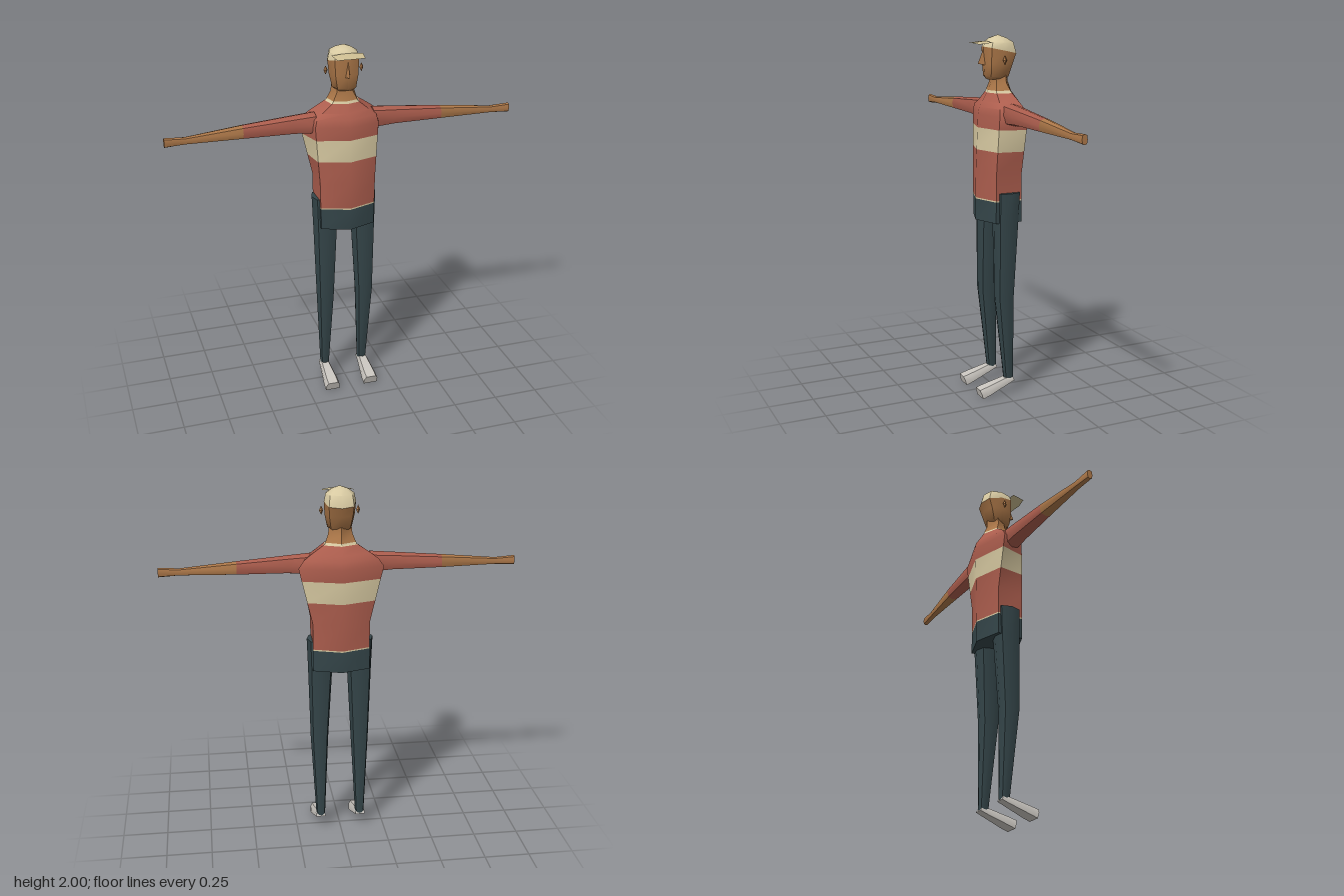
import * as THREE from 'three';
import { toCreasedNormals } from 'three/addons/utils/BufferGeometryUtils.js';

const mat = (name, color, side = THREE.FrontSide) => {
  const m = new THREE.MeshStandardMaterial({ color, side });
  m.name = name;
  return m;
};

// Skin a list of rings (counter-clockwise about the travel direction) and cap the ends
function loft(rings, { mirror = false, start = true, end = true, crease = 0.8 } = {}) {
  if (mirror) rings = rings.map(r => r.map(([x, y, z]) => [-x, y, z]).reverse());
  const n = rings[0].length, index = [];
  const pos = rings.flat(2);
  for (let j = 0; j < rings.length - 1; j++) {
    for (let i = 0; i < n; i++) {
      const a = j * n + i, b = j * n + (i + 1) % n;
      index.push(a, b, b + n, a, b + n, a + n);
    }
  }
  const last = (rings.length - 1) * n;
  for (let i = 1; i < n - 1; i++) {
    if (start) index.push(0, i + 1, i);
    if (end) index.push(last, last + i, last + i + 1);
  }
  const g = new THREE.BufferGeometry();
  g.setAttribute('position', new THREE.Float32BufferAttribute(pos, 3));
  g.setIndex(index);
  return toCreasedNormals(g, crease);
}

// Unit rounded-square section with eight points
const round = Array.from({ length: 8 }, (_, i) => {
  const a = i * Math.PI / 4;
  const f = v => Math.sign(v) * Math.pow(Math.abs(v), 0.75);
  return [f(Math.cos(a)), f(Math.sin(a))];
});

// Horizontal ring between x0..x1 and z0..z1, optionally tilted towards the back
const flatRing = ([y, x0, x1, z0, z1, tilt = 0]) => round.map(([c, s]) =>
  [(x0 + x1) / 2 + s * (x1 - x0) / 2, y + c * tilt, (z0 + z1) / 2 + c * (z1 - z0) / 2]);

// Upright ring at x between y0..y1 and z0..z1
const armRing = ([x, y0, y1, z0, z1]) => round.map(([c, s]) =>
  [x, (y0 + y1) / 2 + c * (y1 - y0) / 2, (z0 + z1) / 2 + s * (z1 - z0) / 2]);

// Torso profile: y, front z, front corner x/z, back corner x/z, back z
const torso = [
  [1.00, 0.115, 0.150, 0.06, 0.155, -0.09, -0.14],
  [1.27, 0.112, 0.155, 0.06, 0.155, -0.09, -0.145],
  [1.58, 0.098, 0.175, 0.05, 0.228, -0.09, -0.155],
  [1.62, 0.090, 0.165, 0.045, 0.20, -0.085, -0.15],
  [1.65, 0.070, 0.130, 0.03, 0.16, -0.075, -0.13],
  [1.70, 0.042, 0.070, 0.02, 0.085, -0.06, -0.10],
  [1.75, 0.020, 0.045, 0.01, 0.065, -0.04, -0.08],
  [1.79, 0.020, 0.045, 0.01, 0.060, -0.04, -0.08],
];
function torsoRing(y) {
  const k = Math.max(1, torso.findIndex(r => r[0] >= y));
  const a = torso[k - 1], b = torso[k], t = (y - a[0]) / (b[0] - a[0]);
  const [, zf, xf, zfc, xb, zbc, zb] = a.map((v, i) => v + (b[i] - v) * t);
  return [[0, y, zf], [xf, y, zfc], [xb, y, zbc], [0, y, zb], [-xb, y, zbc], [-xf, y, zfc]];
}

export function createModel() {
  const group = new THREE.Group();
  group.name = 'figure';
  const shirt = mat('shirt red', 0xad5e4e);
  const cream = mat('cream', 0xd8caa2);
  const skin = mat('skin', 0xad7849);
  const pants = mat('dark trousers', 0x35464a);
  const shoe = mat('shoe grey', 0xc8c4be);
  const brimMat = mat('cap brim', 0xd0c094, THREE.DoubleSide);
  const add = (name, geometry, material) => {
    const mesh = new THREE.Mesh(geometry, material);
    mesh.name = name;
    group.add(mesh);
    return mesh;
  };

  // Torso, cut into horizontal colour bands
  const bands = [
    ['pelvis', 1.0, 1.118, pants], ['shirtHem', 1.118, 1.125, cream],
    ['shirtLower', 1.125, 1.39, shirt], ['chestStripe', 1.39, 1.51, cream],
    ['shirtUpper', 1.51, 1.695, shirt], ['collar', 1.695, 1.708, cream],
    ['neck', 1.708, 1.79, skin],
  ];
  for (const [name, lo, hi, m] of bands) {
    const ys = [lo, ...torso.map(r => r[0]).filter(y => y > lo && y < hi), hi];
    add(name, loft(ys.map(torsoRing), { start: lo === 1.0, end: hi === 1.79 }), m);
  }

  // Head and cap share a tilted seam
  const seam = [1.92, -0.085, 0.085, -0.12, 0.066, 0.02];
  add('head', loft([
    [1.766, -0.045, 0.045, -0.055, 0.045],
    [1.782, -0.066, 0.066, -0.075, 0.058],
    [1.85, -0.08, 0.08, -0.098, 0.064],
    seam,
  ].map(flatRing), { end: false }), skin);
  add('cap', loft([
    seam,
    [1.963, -0.076, 0.076, -0.102, 0.054],
    [1.985, -0.044, 0.044, -0.066, 0.026],
    [2.0, -0.004, 0.004, -0.024, -0.016],
  ].map(flatRing), { start: false }), cream);

  // Cap brim: thin arched sheet with a slightly pointed front
  const brim = new THREE.PlaneGeometry(0.17, 0.085, 4, 2).rotateX(-Math.PI / 2);
  const p = brim.attributes.position;
  for (let i = 0; i < p.count; i++) {
    const x = p.getX(i), t = (p.getZ(i) + 0.0425) / 0.085;
    const s = Math.abs(x) / 0.085;
    p.setXYZ(i, x * (1 - 0.12 * t), 1.969 - 0.008 * t - 0.005 * s * s, 0.05 + t * (0.09 - 0.016 * s));
  }
  brim.computeVertexNormals();
  add('capBrim', brim, brimMat);

  // Nose
  add('nose', loft([
    [[0, 1.85, 0.098], [0.014, 1.842, 0.055], [-0.014, 1.842, 0.055]],
    [[0, 1.925, 0.067], [0.003, 1.925, 0.055], [-0.003, 1.925, 0.055]],
  ], { crease: 0.3 }), skin);

  // Paired parts
  for (const mirror of [false, true]) {
    const side = mirror ? 'right' : 'left';

    add(side + 'Ear', new THREE.OctahedronGeometry(1).scale(0.011, 0.025, 0.012)
      .translate(mirror ? -0.098 : 0.098, 1.872, -0.016), skin);

    const elbow = [0.55, 1.542, 1.615, -0.058, 0.016];
    add(side + 'Sleeve', loft([
      [0.16, 1.53, 1.648, -0.078, 0.032],
      [0.28, 1.54, 1.638, -0.072, 0.028],
      elbow,
    ].map(armRing), { mirror, end: false }), shirt);
    add(side + 'Forearm', loft([
      elbow,
      [0.85, 1.547, 1.585, -0.032, 0.006],
      [0.96, 1.54, 1.592, -0.026, 0.005],
    ].map(armRing), { mirror, start: false }), skin);

    add(side + 'Leg', loft([
      [0.085, 0.088, 0.138, -0.06, -0.006],
      [0.57, 0.064, 0.164, -0.058, 0.05],
      [1.0, 0.04, 0.176, -0.084, 0.054],
      [1.165, 0.032, 0.182, -0.092, 0.055],
    ].map(flatRing), { mirror }), pants);

    // Shoe: [half width, top y, top z, bottom y, bottom z] from heel to toe
    const shoeRings = [
      [0.026, 0.1, -0.05, 0.079, -0.06],
      [0.028, 0.098, -0.01, 0.063, -0.02],
      [0.04, 0.066, 0.11, 0.018, 0.1],
      [0.04, 0.054, 0.155, 0.004, 0.14],
    ].map(([w, yt, zt, yb, zb]) => [[1, 0], [1, 0.6], [0.7, 1], [-0.7, 1], [-1, 0.6], [-1, 0]]
      .map(([sx, t]) => [0.115 + sx * w, yb + (yt - yb) * t, zb + (zt - zb) * t]));
    add(side + 'Shoe', loft(shoeRings, { mirror }), shoe);
  }
  return group;
}
